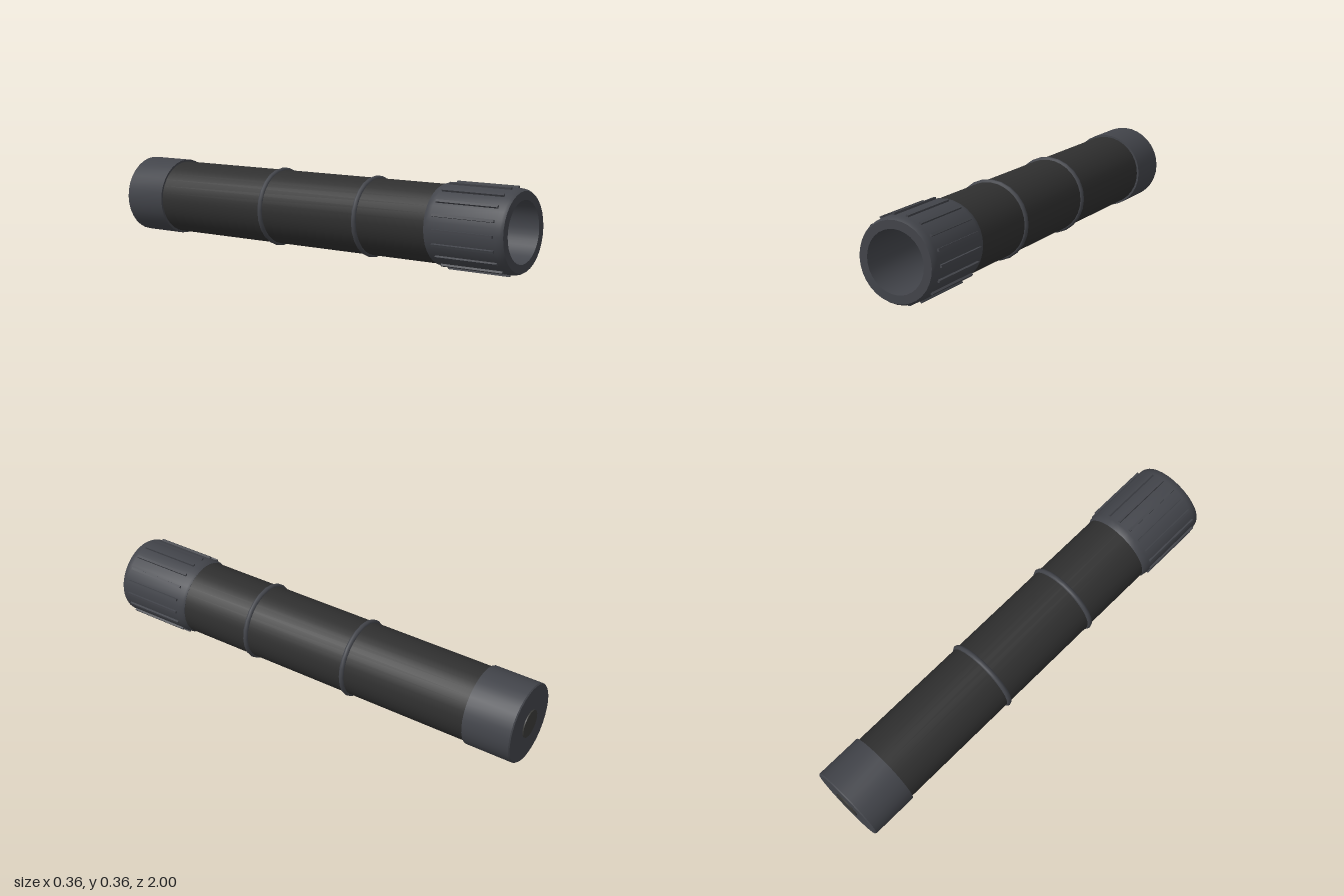
import * as THREE from 'three';
import { toCreasedNormals } from 'three/addons/utils/BufferGeometryUtils.js';

const AXIS_Y = 0.178;
const RIBS = 18;

export function createModel() {
  const model = new THREE.Group();
  model.name = 'flashlight';

  const grey = new THREE.MeshStandardMaterial({ color: 0x42444a });
  const black = new THREE.MeshStandardMaterial({ color: 0x2f2f2f });
  const rubber = new THREE.MeshStandardMaterial({ color: 0x3a3a38 });

  // everything is turned about the long axis; profiles are [radius, z]
  const barrel = new THREE.Group();
  barrel.name = 'barrel';
  barrel.position.y = AXIS_Y;
  model.add(barrel);

  const add = (name, geometry, material, parent = barrel) => {
    const mesh = new THREE.Mesh(geometry, material);
    mesh.name = name;
    parent.add(mesh);
    return mesh;
  };
  const turned = (profile, segments = 32) => {
    const points = profile.map(([r, z]) => new THREE.Vector2(r, z));
    const geometry = new THREE.LatheGeometry(points, segments).rotateX(Math.PI / 2);
    return toCreasedNormals(geometry, 0.5);
  };

  // main tube, its front end closes the bottom of the hollow head
  add('body', turned([[0, -0.8], [0.163, -0.8], [0.163, 0.66], [0, 0.66]]), black);

  // hollow head with bevelled rims
  add('head', turned([
    [0.128, 0.64], [0.164, 0.64], [0.169, 0.65], [0.172, 0.67],
    [0.172, 0.97], [0.17, 0.988], [0.163, 1], [0.128, 1], [0.128, 0.64],
  ]), grey);

  // grip ribs around the head
  const grip = new THREE.Group();
  grip.name = 'gripRibs';
  barrel.add(grip);
  const ribGeometry = new THREE.BoxGeometry(0.016, 0.011, 0.28);
  for (let i = 0; i < RIBS; i++) {
    const a = (i / RIBS) * Math.PI * 2;
    const rib = add('gripRib', ribGeometry, grey, grip);
    rib.position.set(Math.cos(a) * 0.1745, Math.sin(a) * 0.1745, 0.82);
    rib.rotation.z = a;
    rib.scale.set(0.7, 1, 1);
  }

  // two raised bands on the tube
  for (const z of [0.3, -0.2]) {
    add('band', new THREE.TorusGeometry(0.162, 0.012, 10, 24), grey).position.z = z;
  }

  // tail cap and push button
  add('tailCap', turned([
    [0, -0.995], [0.168, -0.995], [0.172, -0.99], [0.172, -0.78], [0.16, -0.78],
  ]), grey);
  add('button', turned([[0, -1], [0.06, -1], [0.06, -0.98]], 24), rubber);

  return model;
}
